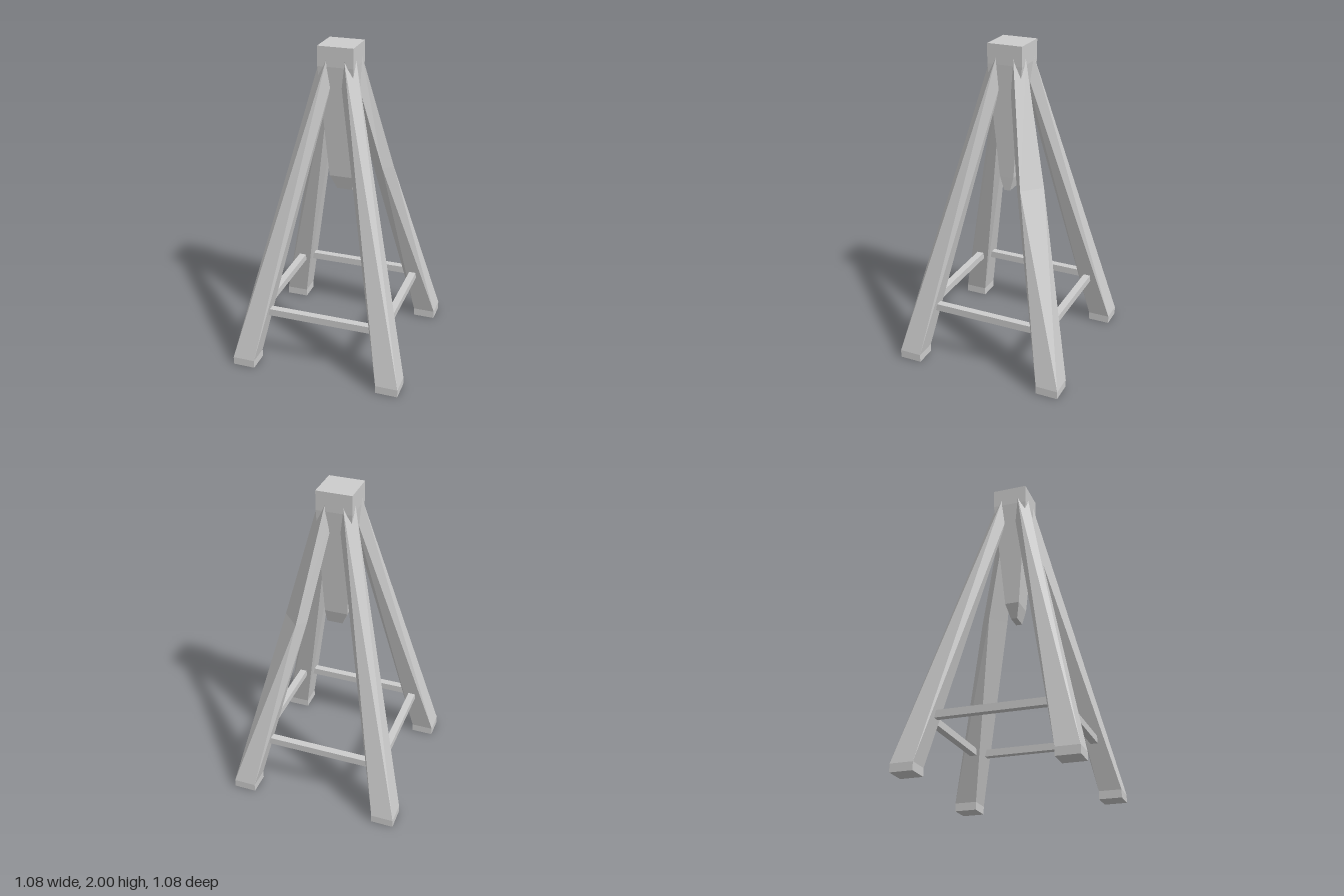
import * as THREE from 'three';

// Joins four-sided rings (listed bottom to top, clockwise from above) into a closed faceted solid
function loft(rings) {
  const out = [];
  const tri = (a, b, c) => out.push(...a, ...b, ...c);
  for (let k = 0; k < rings.length - 1; k++) {
    const lo = rings[k], up = rings[k + 1];
    for (let i = 0; i < 4; i++) {
      const j = (i + 1) % 4;
      tri(lo[j], lo[i], up[i]);
      tri(lo[j], up[i], up[j]);
    }
  }
  const b = rings[0], t = rings[rings.length - 1];
  tri(b[0], b[1], b[2]);
  tri(b[0], b[2], b[3]);
  tri(t[2], t[1], t[0]);
  tri(t[3], t[2], t[0]);
  const geo = new THREE.BufferGeometry();
  geo.setAttribute('position', new THREE.Float32BufferAttribute(out, 3));
  geo.computeVertexNormals();
  return geo;
}

// Rectangular ring at height y
const rect = (x0, x1, z0, z1, y) => [[x1, y, z1], [x0, y, z1], [x0, y, z0], [x1, y, z0]];

// Ring turned 45 degrees, mirrored about the leg's diagonal: outer corner (a, b), inner corner (c, d)
const turned = (a, b, c, d, y) => [[a, y, b], [c, y, d], [d, y, c], [b, y, a]];

export function createModel() {
  const model = new THREE.Group();
  const grey = new THREE.MeshStandardMaterial({ color: 0xcccccc });
  grey.name = 'light grey';

  const add = (name, geo) => {
    const mesh = new THREE.Mesh(geo, grey);
    mesh.name = name;
    model.add(mesh);
    return mesh;
  };

  // Square head block running down into the tapered, chamfered centre post
  add('headAndPost', loft([
    rect(-0.02, 0.08, -0.02, 0.02, 1.085),
    rect(-0.06, 0.085, -0.045, 0.045, 1.175),
    rect(-0.11, 0.11, -0.11, 0.11, 1.88),
    rect(-0.11, 0.11, -0.11, 0.11, 2),
  ]));

  // Four splayed legs that twist from a square foot to a turned top
  const foot = [rect(0.4, 0.54, 0.4, 0.54, 0), rect(0.4, 0.54, 0.4, 0.54, 0.05)];
  const top = turned(0.055, 0.11, 0, 0.055, 1.92);
  const knee = turned(0.18, 0.287, 0.13, 0.225, 1.19);
  const plainLeg = loft([...foot, top]);
  const kneedLeg = loft([...foot, knee, top]);
  const legNames = ['frontLeftLeg', 'backLeftLeg', 'backRightLeg', 'frontRightLeg'];
  legNames.forEach((name, i) => {
    add(name, i === 1 ? kneedLeg : plainLeg).rotation.y = i * Math.PI / 2;
  });

  // Four rails tying the legs together
  const rail = new THREE.BoxGeometry(0.69, 0.045, 0.045);
  ['frontRail', 'leftRail', 'backRail', 'rightRail'].forEach((name, i) => {
    const a = i * Math.PI / 2;
    const mesh = add(name, rail);
    mesh.position.set(Math.sin(a) * 0.397, 0.355, Math.cos(a) * 0.397);
    mesh.rotation.y = a;
  });

  return model;
}
